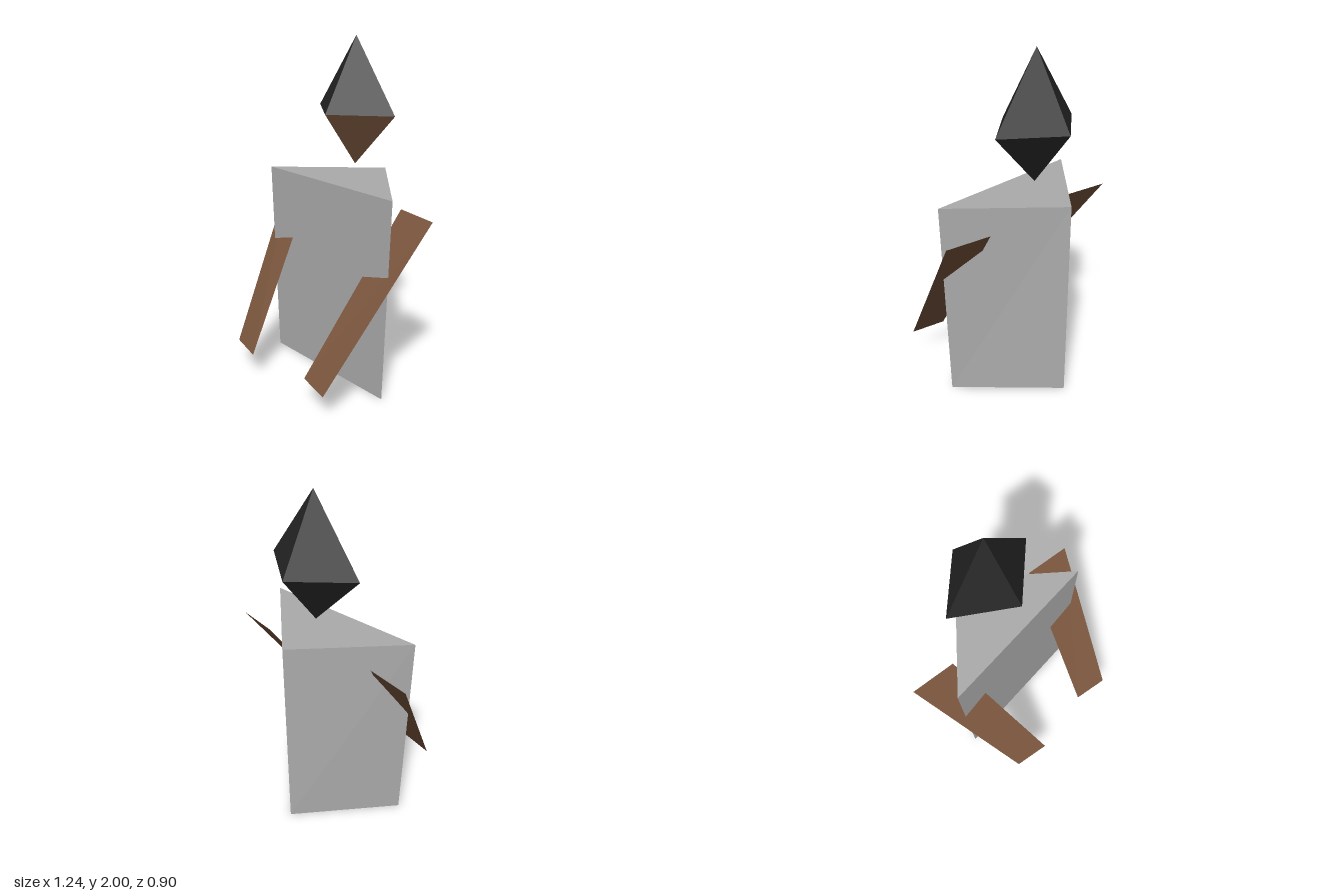
import * as THREE from 'three';

const mat = (name, color, side = THREE.FrontSide) => {
  const m = new THREE.MeshStandardMaterial({ color, side, flatShading: true });
  m.name = name;
  return m;
};

// Flat-faced mesh from a list of triangles, each of three [x, y, z] corners
function facets(name, triangles, material) {
  const g = new THREE.BufferGeometry();
  g.setAttribute('position', new THREE.Float32BufferAttribute(triangles.flat(2), 3));
  g.computeVertexNormals();
  const mesh = new THREE.Mesh(g, material);
  mesh.name = name;
  return mesh;
}

export function createModel() {
  const grey = mat('grey cloth', 0xacacac);
  const black = mat('black hair', 0x252525);
  const skin = mat('brown skin', 0x7c573e, THREE.DoubleSide);
  const model = new THREE.Group();
  model.name = 'figure';

  // Body: three-sided prism, slightly narrower at the foot
  const ring = (y, w) => [[w, y, 0.04], [0, y, -0.45], [-w, y, 0.04]];
  const b = ring(0, 0.457), t = ring(1.2, 0.5);
  const body = [[t[0], t[1], t[2]], [b[2], b[1], b[0]]];
  for (let i = 0; i < 3; i++) {
    const j = (i + 1) % 3;
    body.push([b[i], b[j], t[j]], [b[i], t[j], t[i]]);
  }
  model.add(facets('body', body, grey));

  // Head: eight-faced gem, hair everywhere except the two lower front faces
  const head = new THREE.Group();
  head.name = 'head';
  const cz = -0.187, top = [0, 2, cz], chin = [0, 1.272, cz];
  const mid = [[0.3, 1.585, cz], [0, 1.585, -0.425], [-0.3, 1.585, cz], [0, 1.585, 0.05]];
  const hair = [], face = [];
  for (let i = 0; i < 4; i++) {
    const p = mid[i], q = mid[(i + 1) % 4];
    hair.push([p, q, top]);
    (i < 2 ? hair : face).push([q, p, chin]);
  }
  head.add(facets('hair', hair, black), facets('face', face, skin));
  model.add(head);

  // Arms: flat tapered strips reaching forward, both twisted the same way
  for (const [name, s] of [['leftArm', 1], ['rightArm', -1]]) {
    const inner = s > 0 ? 0 : 0.05, outer = 0.05 - inner;
    const ti = [s * 0.353, 1.07, -0.2 + inner], to = [s * 0.618, 1.07, -0.2 + outer];
    const bi = [s * 0.202, 0.175, 0.402 + inner], bo = [s * 0.41, 0.175, 0.402 + outer];
    const tris = [[bi, bo, to], [bi, to, ti]];
    model.add(facets(name, s > 0 ? tris : tris.map((f) => [...f].reverse()), skin));
  }
  return model;
}
